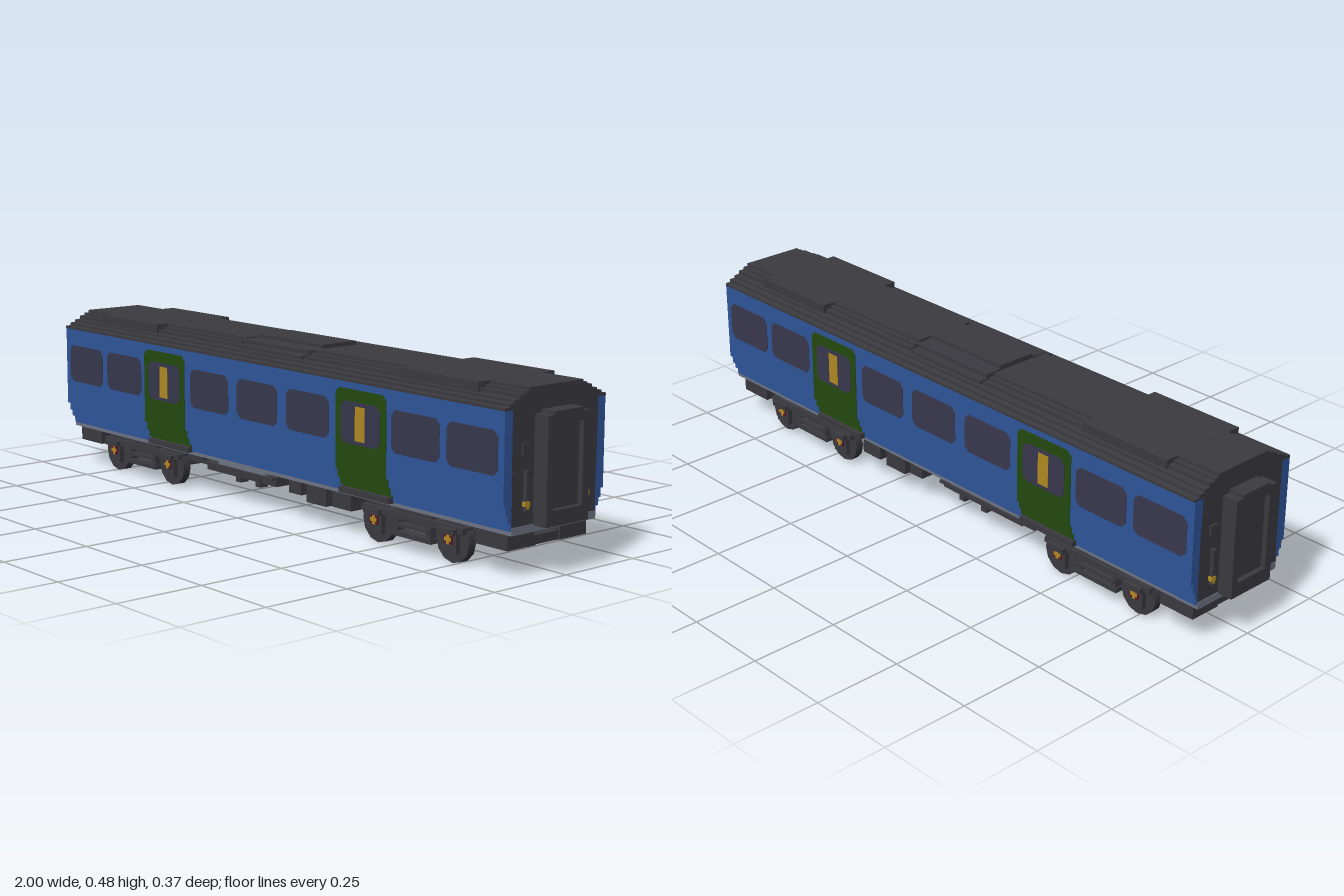
import * as THREE from 'three';

const mat = (name, color) => {
  const m = new THREE.MeshStandardMaterial({ color });
  m.name = name;
  return m;
};

export function createModel() {
  const dark = mat('charcoal', 0x3a3a40);
  const blue = mat('blue', 0x2f559a);
  const green = mat('green', 0x24490f);
  const glass = mat('tinted glass', 0x38384e);
  const gold = mat('gold', 0xb08a22);
  const grey = mat('light grey', 0x6c7484);
  const red = mat('dark red', 0x5c1429);

  const model = new THREE.Group();
  model.name = 'railCarriage';
  const group = (name, parent = model) => {
    const g = new THREE.Group();
    g.name = name;
    parent.add(g);
    return g;
  };
  const add = (parent, name, geo, m) => {
    const mesh = new THREE.Mesh(geo, m);
    mesh.name = name;
    parent.add(mesh);
    return mesh;
  };
  // Box given by its limits on each axis
  const box = (parent, name, m, x0, x1, y0, y1, z0, z1) => {
    const mesh = add(parent, name, new THREE.BoxGeometry(x1 - x0, y1 - y0, z1 - z0), m);
    mesh.position.set((x0 + x1) / 2, (y0 + y1) / 2, (z0 + z1) / 2);
    return mesh;
  };
  // Cross-section of [z, y] points drawn along x
  const sweep = (parent, name, m, pts, x0, x1) => {
    const shape = new THREE.Shape(pts.map(([z, y]) => new THREE.Vector2(-z, y)));
    const geo = new THREE.ExtrudeGeometry(shape, { depth: x1 - x0, bevelEnabled: false });
    geo.rotateY(Math.PI / 2).translate(x0, 0, 0);
    return add(parent, name, geo, m);
  };
  // Upright plate with cut corners, facing +z
  const plate = (parent, name, m, x0, x1, y0, y1, z, t, cut, low = cut) => {
    const shape = new THREE.Shape([
      [x0 + low, y0], [x1 - low, y0], [x1, y0 + low], [x1, y1 - cut],
      [x1 - cut, y1], [x0 + cut, y1], [x0, y1 - cut], [x0, y0 + low],
    ].map(p => new THREE.Vector2(...p)));
    const geo = new THREE.ExtrudeGeometry(shape, { depth: t, bevelEnabled: false });
    geo.translate(0, 0, z);
    return add(parent, name, geo, m);
  };
  const symmetric = half => [...half, ...half.map(([z, y]) => [-z, y]).reverse()];

  // Body core and floor frame
  const L = 0.955;
  box(model, 'bodyCore', dark, -L, L, 0.128, 0.432, -0.152, 0.152);
  box(model, 'floorFrame', grey, -L - 0.002, L + 0.002, 0.113, 0.133, -0.151, 0.151);
  box(model, 'floorUnderside', dark, -0.94, 0.94, 0.111, 0.115, -0.14, 0.14);

  // Stepped roof
  const roof = group('roof');
  sweep(roof, 'roofShell', dark, symmetric([
    [0.18, 0.425], [0.18, 0.432], [0.163, 0.433], [0.163, 0.441], [0.146, 0.442],
    [0.146, 0.449], [0.128, 0.45], [0.128, 0.455],
  ]), -L, L);
  for (const s of [-1, 1]) {
    const along = (name, a, b, y0, y1, w) =>
      box(roof, name, dark, Math.min(s * a, s * b), Math.max(s * a, s * b), y0, y1, -w, w);
    along('roofLowerStep', 0.152, L, 0.452, 0.46, 0.128);
    along('roofMiddleStep', 0.152, L, 0.458, 0.467, 0.111);
    along('roofTopStep', 0.152, L, 0.465, 0.475, 0.096);
    along('roofEquipmentPod', 0.53, 0.82, 0.446, 0.4755, 0.136);
  }
  sweep(roof, 'centreRoofUnit', dark, symmetric([
    [0.136, 0.45], [0.136, 0.46], [0.11, 0.461], [0.11, 0.472], [0.06, 0.474], [0.06, 0.484],
  ]), -0.143, 0.143);

  // One side wall, reused for the far side
  const side = group('sideWall');
  sweep(side, 'sidePanel', blue, [
    [0.15, 0.124], [0.154, 0.124], [0.154, 0.145], [0.163, 0.145], [0.163, 0.165],
    [0.171, 0.165], [0.171, 0.189], [0.179, 0.189], [0.179, 0.427], [0.15, 0.427],
  ], -L, L);
  for (const cx of [-0.845, -0.642, -0.218, 0, 0.218, 0.642, 0.845]) {
    plate(side, 'window', glass, cx - 0.089, cx + 0.089, 0.262, 0.375, 0.178, 0.0025, 0.015);
  }
  for (const cx of [-0.435, 0.435]) {
    const a = cx - 0.099, b = cx + 0.099;
    plate(side, 'doorLeaf', green, a, b, 0.187, 0.407, 0.178, 0.003, 0.014, 0.001);
    sweep(side, 'doorSkirt', green, [
      [0.15, 0.124], [0.156, 0.124], [0.156, 0.143], [0.165, 0.143], [0.165, 0.163],
      [0.173, 0.163], [0.173, 0.187], [0.181, 0.187], [0.181, 0.192], [0.15, 0.192],
    ], a, b);
    plate(side, 'doorWindow', glass, cx - 0.077, cx + 0.077, 0.262, 0.375, 0.179, 0.0035, 0.015);
    box(side, 'doorSignal', gold, cx - 0.019, cx + 0.019, 0.272, 0.364, 0.18, 0.1835);
    box(side, 'doorStep', dark, a, b, 0.121, 0.137, 0.14, 0.17);
  }
  const far = side.clone();
  far.name = 'farSideWall';
  far.rotation.y = Math.PI;
  model.add(far);

  // Carriage end with gangway, reused at the other end
  const end = group('carriageEnd');
  box(end, 'gangwayCore', dark, L, 0.985, 0.13, 0.408, -0.07, 0.07);
  for (const s of [-1, 1]) {
    const z = s * 0.0635;
    box(end, 'gangwayPost', dark, L, 1, 0.13, 0.408, z - 0.0115, z + 0.0115);
    const w = s * 0.107;
    box(end, 'endHatch', dark, L, L + 0.006, 0.307, 0.34, w - 0.0125, w + 0.0125);
    box(end, 'grabRail', dark, L, L + 0.012, 0.17, 0.272, w - 0.004, w + 0.004);
    box(end, 'lampUpright', gold, L, L + 0.014, 0.176, 0.197, w - 0.004, w + 0.004);
    box(end, 'lampCross', gold, L, L + 0.013, 0.183, 0.194, w - 0.008, w + 0.008);
  }
  box(end, 'gangwayLintel', dark, L, 1, 0.384, 0.417, -0.052, 0.052);
  box(end, 'gangwaySill', dark, L, 1, 0.13, 0.17, -0.052, 0.052);
  const otherEnd = end.clone();
  otherEnd.name = 'otherCarriageEnd';
  otherEnd.rotation.y = Math.PI;
  model.add(otherEnd);

  // Bogies: wheels, axle boxes, side frames and bolster
  const wheelGeo = new THREE.CylinderGeometry(0.06, 0.06, 0.024, 12).rotateX(Math.PI / 2);
  for (const cx of [-0.603, 0.597]) {
    const bogie = group('bogie');
    bogie.position.x = cx;
    box(bogie, 'bolster', dark, -0.085, 0.085, 0.053, 0.094, -0.112, 0.112);
    for (const s of [-1, 1]) {
      const part = (name, m, x0, x1, y0, y1, z0, z1) =>
        box(bogie, name, m, x0, x1, y0, y1, Math.min(s * z0, s * z1), Math.max(s * z0, s * z1));
      part('frameRail', dark, -0.19, 0.19, 0.083, 0.1, 0.112, 0.15);
      part('pivotBlock', dark, -0.07, 0.07, 0.09, 0.113, 0.045, 0.14);
      part('lowerRail', dark, -0.075, 0.075, 0.037, 0.05, 0.118, 0.15);
      part('damper', dark, -0.065, 0.065, 0.062, 0.072, 0.13, 0.15);
      for (const k of [-0.062, 0.062]) {
        part('hanger', dark, k - 0.008, k + 0.008, 0.037, 0.09, 0.12, 0.146);
      }
      for (const ax of [-0.14, 0.14]) {
        const wheel = add(bogie, 'wheel', wheelGeo, dark);
        wheel.position.set(ax, 0.06, s * 0.123);
        part('axleBox', dark, ax - 0.027, ax + 0.027, 0.028, 0.095, 0.12, 0.149);
        part('springCap', dark, ax - 0.03, ax + 0.03, 0.08, 0.095, 0.14, 0.163);
        part('axleCap', red, ax - 0.016, ax + 0.016, 0.053, 0.077, 0.14, 0.152);
        part('axlePinUpright', gold, ax - 0.005, ax + 0.005, 0.052, 0.078, 0.145, 0.1535);
        part('axlePinCross', gold, ax - 0.012, ax + 0.012, 0.06, 0.07, 0.145, 0.154);
      }
    }
    for (const ax of [-0.14, 0.14]) {
      box(bogie, 'axle', dark, ax - 0.012, ax + 0.012, 0.055, 0.079, -0.115, 0.115);
    }
  }

  // Equipment hung below the floor
  const under = group('underfloorEquipment');
  box(under, 'equipmentTray', dark, -0.3, 0.02, 0.073, 0.094, -0.125, 0.125);
  for (const s of [-1, 1]) {
    box(under, 'endCrossbar', dark, s * 0.88 - 0.05, s * 0.88 + 0.05, 0.07, 0.094, -0.07, 0.07);
    for (const [x0, x1, y0, y1] of [
      [-0.365, -0.3, 0.092, 0.115], [-0.3, 0.02, 0.092, 0.1], [0.095, 0.148, 0.074, 0.114],
      [0.17, 0.252, 0.06, 0.108], [0.18, 0.24, 0.1, 0.114], [0.28, 0.356, 0.066, 0.115],
      [-0.935, -0.825, 0.07, 0.114], [0.825, 0.935, 0.07, 0.114],
    ]) {
      const z = s * 0.094;
      box(under, 'equipmentCase', dark, x0, x1, y0, y1, z - 0.048, z + 0.048);
    }
    for (const x of [-0.15, -0.06]) {
      box(under, 'trayFoot', dark, x - 0.011, x + 0.011, 0.06, 0.098, s * 0.115 - 0.014, s * 0.115 + 0.014);
    }
    box(under, 'trayBracket', grey, -0.235, -0.02, 0.099, 0.113, s * 0.125 - 0.01, s * 0.125 + 0.01);
  }
  return model;
}
